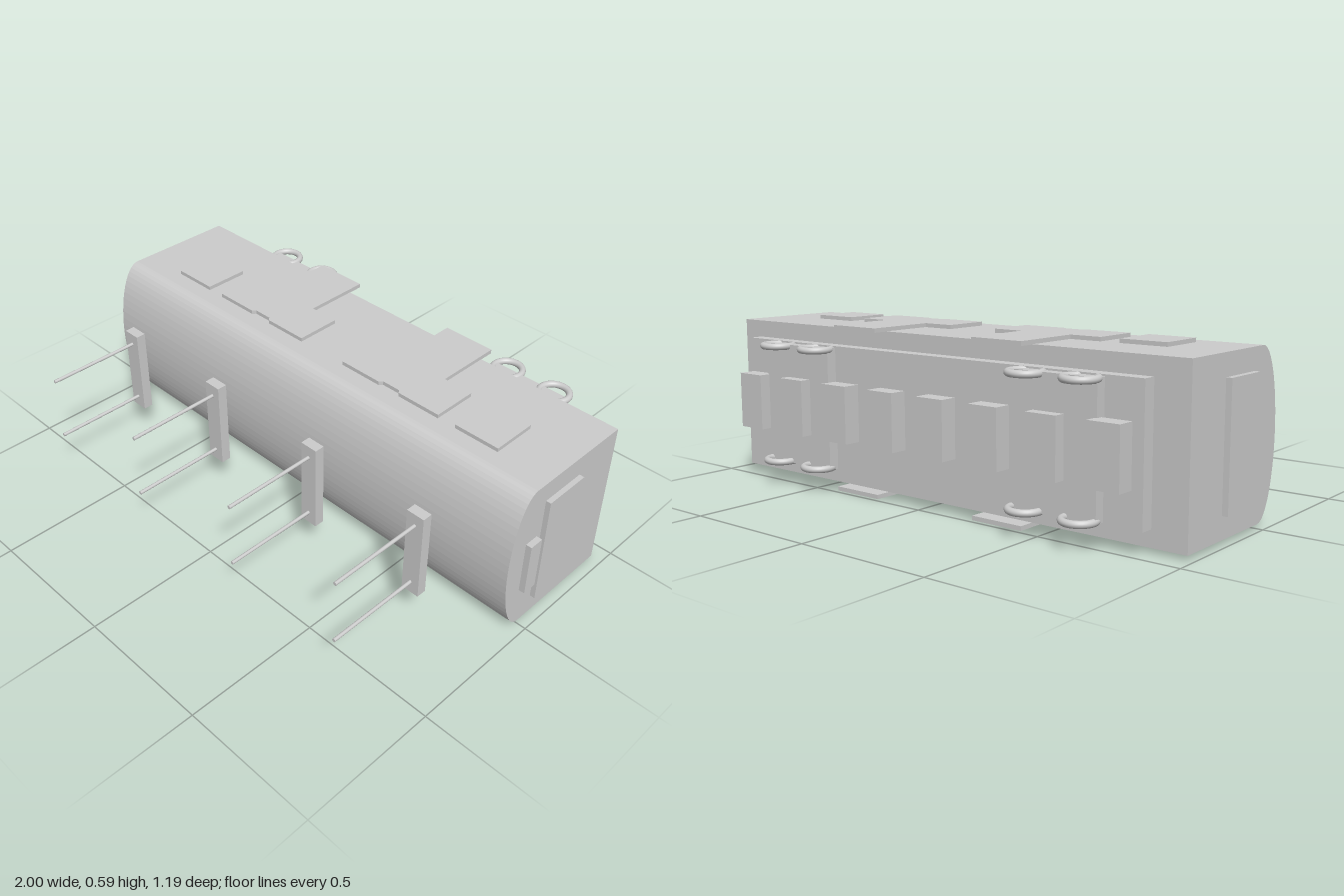
import * as THREE from 'three';

const material = new THREE.MeshStandardMaterial({ color: 0xcccccc, flatShading: true });
const smooth = new THREE.MeshStandardMaterial({ color: 0xcccccc });

export function createModel() {
  const model = new THREE.Group();

  const add = (name, geometry, mat = material) => {
    const mesh = new THREE.Mesh(geometry, mat);
    mesh.name = name;
    model.add(mesh);
    return mesh;
  };
  // Box given by its extents on each axis
  const box = (name, x0, x1, y0, y1, z0, z1) =>
    add(name, new THREE.BoxGeometry(x1 - x0, y1 - y0, z1 - z0))
      .position.set((x0 + x1) / 2, (y0 + y1) / 2, (z0 + z1) / 2);

  // Main body: square back, half-elliptical front, extruded along x
  const profile = new THREE.Shape();
  profile.moveTo(0.427, 0.015);
  profile.lineTo(0.427, 0.577);
  profile.lineTo(0, 0.577);
  profile.absellipse(0, 0.296, 0.1, 0.281, Math.PI / 2, Math.PI * 1.5, false);
  profile.closePath();
  const body = new THREE.ExtrudeGeometry(profile, { depth: 1.945, bevelEnabled: false, curveSegments: 14 });
  body.rotateY(Math.PI / 2);
  body.translate(-0.98, 0, 0);
  add('body', body);

  // Cover plates on the end faces
  box('rightEndPlate', -1, -0.98, 0.09, 0.503, -0.232, -0.055);
  box('leftEndPlate', 0.965, 0.983, 0.09, 0.503, -0.232, -0.055);
  box('leftEndTab', 0.979, 1, 0.198, 0.395, -0.01, 0.044);

  // T-shaped plates with a small front notch, as offsets from the stem centre
  const outline = [
    [-0.215, 0.06], [-0.045, 0.06], [-0.035, 0.072], [0.035, 0.072], [0.045, 0.06], [0.215, 0.06],
    [0.215, 0.23], [0.102, 0.23], [0.102, 0.482], [-0.098, 0.482], [-0.098, 0.23], [-0.215, 0.23],
  ].map(([x, y]) => new THREE.Vector2(x, y));
  const teeGeometry = new THREE.ExtrudeGeometry(new THREE.Shape(outline), { depth: 0.015, bevelEnabled: false });
  teeGeometry.rotateX(-Math.PI / 2);

  // Plates on the top and the underside
  for (const [side, y] of [['top', 0.576], ['bottom', 0]]) {
    for (const x of [-0.324, 0.308]) add(side + 'TeePlate', teeGeometry).position.set(x, y, 0);
    for (const x of [-0.695, 0.68]) box(side + 'SmallPlate', x - 0.086, x + 0.086, y, y + 0.015, -0.23, -0.06);
  }

  // Front brackets, each with two long pins
  const pin = new THREE.CylinderGeometry(0.0065, 0.0065, 0.357, 16);
  pin.rotateX(Math.PI / 2);
  for (const x of [-0.72, -0.254, 0.234, 0.7]) {
    box('frontBracket', x - 0.034, x + 0.034, 0.131, 0.464, 0.206, 0.243);
    for (const y of [0.175, 0.419]) add('frontPin', pin, smooth).position.set(x, y, 0.416);
  }

  // Back panel and the row of blocks on it
  box('backPanel', -0.87, 0.855, 0.077, 0.519, -0.493, -0.446);
  for (let i = 0; i < 8; i++) {
    const x = -0.783 + i * 0.2217;
    box('backBlock', x - 0.057, x + 0.057, 0.198, 0.397, -0.57, -0.508);
  }

  // Raised panels with rings at their upper and lower edges
  const ring = new THREE.TorusGeometry(0.053, 0.012, 16, 40);
  ring.rotateX(Math.PI / 2);
  for (const x of [-0.575, 0.555]) {
    box('raisedPanel', x - 0.16, x + 0.16, 0.084, 0.513, -0.53, -0.493);
    for (const dx of [-0.1, 0.1])
      for (const y of [0.089, 0.507]) add('ring', ring, smooth).position.set(x + dx, y, -0.529);
  }

  return model;
}
